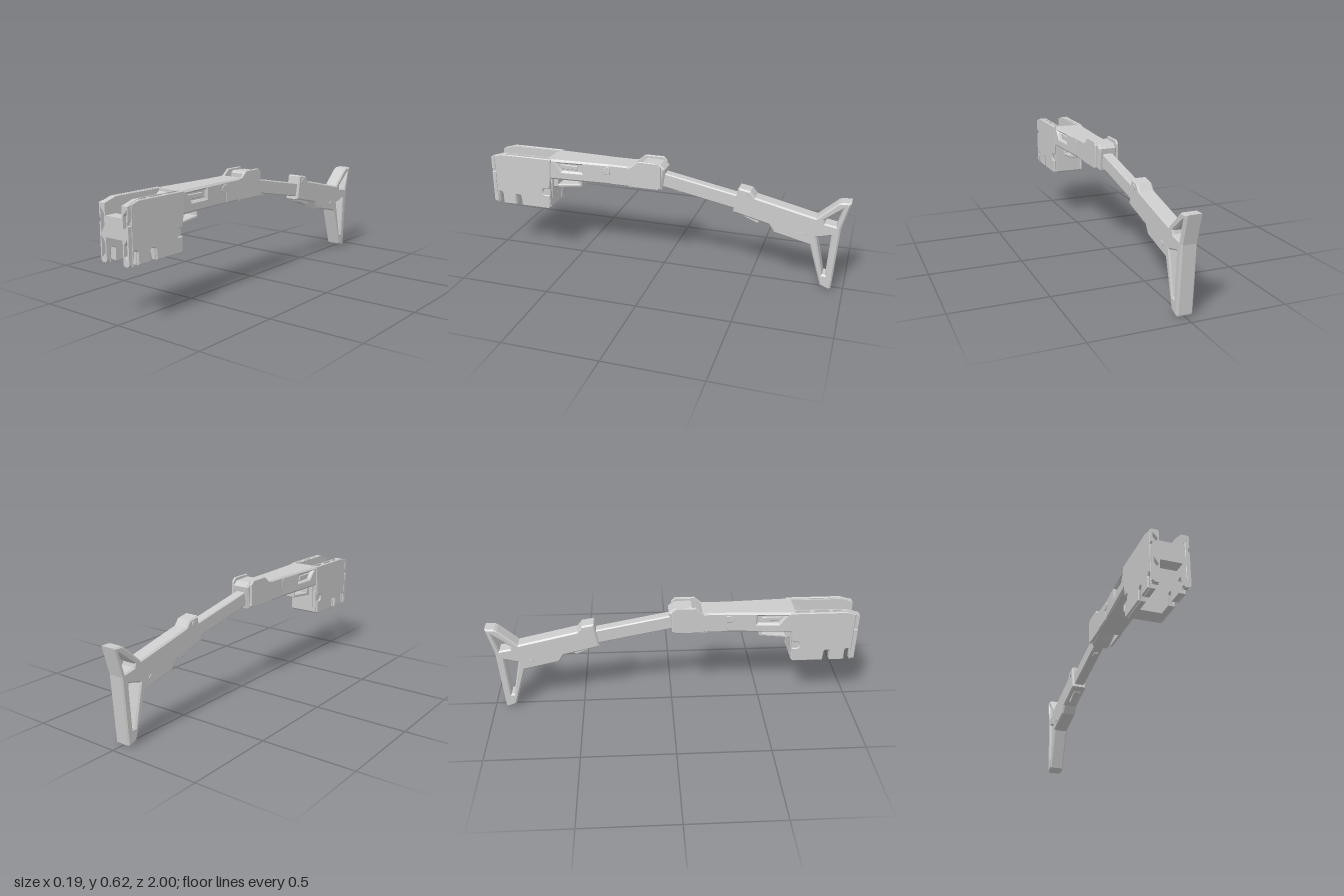
import * as THREE from 'three';

const material = new THREE.MeshStandardMaterial({ color: 0xcccccc, side: THREE.DoubleSide });

function polygon(points, holes = []) {
  const shape = new THREE.Shape(points.map(p => new THREE.Vector2(...p)));
  for (const h of holes) shape.holes.push(new THREE.Path(h.map(p => new THREE.Vector2(...p))));
  return shape;
}

// Side profile given as [z, y] points, extruded from x0 to x1 with chamfered rims
function profile(points, x0, x1, bevel = 0, holes = []) {
  const g = new THREE.ExtrudeGeometry(polygon(points, holes), {
    depth: x1 - x0 - 2 * bevel, bevelEnabled: bevel > 0, bevelSegments: 1,
    bevelSize: bevel, bevelThickness: bevel, bevelOffset: -bevel,
  });
  return g.rotateY(-Math.PI / 2).translate(x1 - bevel, 0, 0);
}

export function createModel() {
  const model = new THREE.Group();
  const add = (name, geometry) => {
    const mesh = new THREE.Mesh(geometry, material);
    mesh.name = name;
    model.add(mesh);
  };
  // Same profile on both sides
  const addPair = (name, points, x0, x1, bevel, holes) => {
    add(name + 'Left', profile(points, x0, x1, bevel, holes));
    add(name + 'Right', profile(points, -x1, -x0, bevel, holes));
  };
  const addPin = (name, z, y, radius, halfWidth) => add(name,
    new THREE.CylinderGeometry(radius, radius, halfWidth * 2, 16).rotateZ(Math.PI / 2).translate(0, y, z));

  // Front side plates: three layers, the middle one cut down into a toothed top groove
  const bottom = [
    [0.98, 0.29], [0.976, 0.29], [0.976, 0.35], [0.968, 0.36], [0.952, 0.36], [0.944, 0.35], [0.944, 0.29],
    [0.864, 0.29], [0.864, 0.345], [0.858, 0.352], [0.836, 0.352], [0.83, 0.345], [0.826, 0.29],
    [0.66, 0.29], [0.65, 0.30],
  ];
  const rearNotch = [[0.65, 0.37], [0.68, 0.37], [0.69, 0.38], [0.69, 0.40], [0.68, 0.41], [0.65, 0.41]];
  const top = [[0.64, 0.47], [0.63, 0.588], [0.933, 0.588], [0.98, 0.573]];
  const groove = [
    [0.65, 0.47], [0.64, 0.56], [0.72, 0.56], [0.735, 0.586], [0.755, 0.586], [0.765, 0.56],
    [0.83, 0.56], [0.84, 0.586], [0.855, 0.586], [0.865, 0.56], [0.895, 0.56], [0.905, 0.588],
    [0.933, 0.588], [0.98, 0.573],
  ];
  addPair('innerPlate', [...bottom, ...top], 0.055, 0.062);
  addPair('middlePlate', [...bottom, ...groove], 0.062, 0.08);
  addPair('outerPlate', [...bottom, ...rearNotch, ...top], 0.08, 0.093, 0.004);

  // Front end frames with recessed panels and an outer notch
  const frame = [
    [0.055, 0.30], [0.063, 0.29], [0.083, 0.29], [0.093, 0.30], [0.093, 0.476], [0.086, 0.48],
    [0.086, 0.496], [0.093, 0.50], [0.093, 0.567], [0.055, 0.567],
  ];
  const panels = [
    [[0.086, 0.55], [0.061, 0.52], [0.061, 0.464], [0.084, 0.425]],
    [[0.084, 0.418], [0.061, 0.385], [0.061, 0.335], [0.086, 0.312]],
  ];
  for (const s of [1, -1]) {
    const flip = pts => pts.map(([x, y]) => [s * x, y]);
    const g = new THREE.ExtrudeGeometry(polygon(flip(frame), panels.map(flip)), { depth: 0.02, bevelEnabled: false });
    g.translate(0, 0, 0.98);
    // Slope the top edge back to meet the plates
    const p = g.attributes.position;
    for (let i = 0; i < p.count; i++) {
      if (p.getY(i) > 0.56) p.setY(i, p.getY(i) + (1 - p.getZ(i)) * 0.3);
    }
    g.computeVertexNormals();
    add(s > 0 ? 'frontFrameLeft' : 'frontFrameRight', g);
  }
  add('frontCrossBlock', profile([[1, 0.41], [1, 0.51], [0.935, 0.51], [0.935, 0.41]], -0.056, 0.056));

  // Rear filler block with the sloping deck
  add('rearBlock', profile(
    [[0.75, 0.29], [0.75, 0.51], [0.64, 0.585], [0.645, 0.47], [0.65, 0.30], [0.66, 0.29]], -0.057, 0.057));

  // Tapering middle body with a window in each side
  const body = profile(
    [[0.28, 0.47], [0.655, 0.47], [0.655, 0.587], [0.28, 0.587]], -0.089, 0.089, 0.01,
    [[[0.605, 0.567], [0.457, 0.567], [0.457, 0.524], [0.57, 0.524]]]);
  const pos = body.attributes.position;
  for (let i = 0; i < pos.count; i++) {
    pos.setX(i, pos.getX(i) * THREE.MathUtils.mapLinear(pos.getZ(i), 0.28, 0.655, 0.76, 1));
  }
  body.computeVertexNormals();
  add('taperedBody', body);
  add('windowCore', profile([[0.44, 0.51], [0.62, 0.51], [0.62, 0.575], [0.44, 0.575]], -0.062, 0.062));
  add('windowPanel', profile([[0.48, 0.532], [0.57, 0.532], [0.585, 0.557], [0.48, 0.557]], -0.069, 0.069, 0.003));
  add('rearBody', profile([[0.16, 0.47], [0.30, 0.47], [0.30, 0.587], [0.16, 0.587]], -0.069, 0.069, 0.008));
  addPair('sideBoss', [[0.31, 0.57], [0.33, 0.56], [0.335, 0.54], [0.32, 0.53], [0.29, 0.53], [0.29, 0.57]],
    0.05, 0.0725, 0.002);

  // Guard loop below the body
  add('guardLoop', profile(
    [[0.65, 0.48], [0.475, 0.48], [0.475, 0.425], [0.485, 0.42], [0.65, 0.403]], -0.035, 0.035, 0.004,
    [[[0.62, 0.462], [0.49, 0.462], [0.49, 0.437], [0.62, 0.422]]]));

  // Hinge: two ears, the block between them and its pin
  addPair('hingeEar', [
    [0.19, 0.47], [0.19, 0.587], [0.165, 0.587], [0.126, 0.62], [0.02, 0.62],
    [0, 0.60], [0, 0.48], [0.02, 0.47],
  ], 0.054, 0.068, 0.003);
  add('hingeBlock', profile([
    [0.12, 0.50], [0.12, 0.60], [0.105, 0.612], [0.01, 0.608], [-0.018, 0.585],
    [0.002, 0.462], [0.07, 0.476],
  ], -0.05, 0.05, 0.01));
  addPin('hingePin', 0.06, 0.53, 0.012, 0.056);

  // Sliding arm
  add('arm', profile([[0.01, 0.56], [-0.44, 0.473], [-0.44, 0.393], [0.01, 0.48]], -0.029, 0.029, 0.006));
  add('armStop', profile([[-0.07, 0.47], [-0.10, 0.464], [-0.10, 0.452], [-0.07, 0.458]], -0.012, 0.012));

  // Stock with two triangular openings
  add('stock', profile([
    [-0.393, 0.385], [-0.416, 0.518], [-0.422, 0.524], [-0.484, 0.513], [-0.51, 0.48], [-0.832, 0.406],
    [-0.935, 0.50], [-0.95, 0.507], [-1, 0.508], [-0.96, 0.358], [-0.938, 0.01], [-0.93, 0],
    [-0.88, 0.02], [-0.81, 0.25], [-0.618, 0.294], [-0.59, 0.337], [-0.436, 0.374],
  ], -0.042, 0.042, 0.008, [
    [[-0.967, 0.48], [-0.873, 0.40], [-0.878, 0.382], [-0.936, 0.372]],
    [[-0.84, 0.298], [-0.915, 0.318], [-0.902, 0.085], [-0.887, 0.085]],
  ]));
  add('stockLever', profile(
    [[-0.43, 0.38], [-0.44, 0.362], [-0.52, 0.328], [-0.532, 0.332], [-0.54, 0.36]], -0.022, 0.022, 0.004));
  addPin('clampScrew', -0.452, 0.487, 0.016, 0.046);
  addPin('stockScrew', -0.77, 0.305, 0.014, 0.046);

  return model;
}
